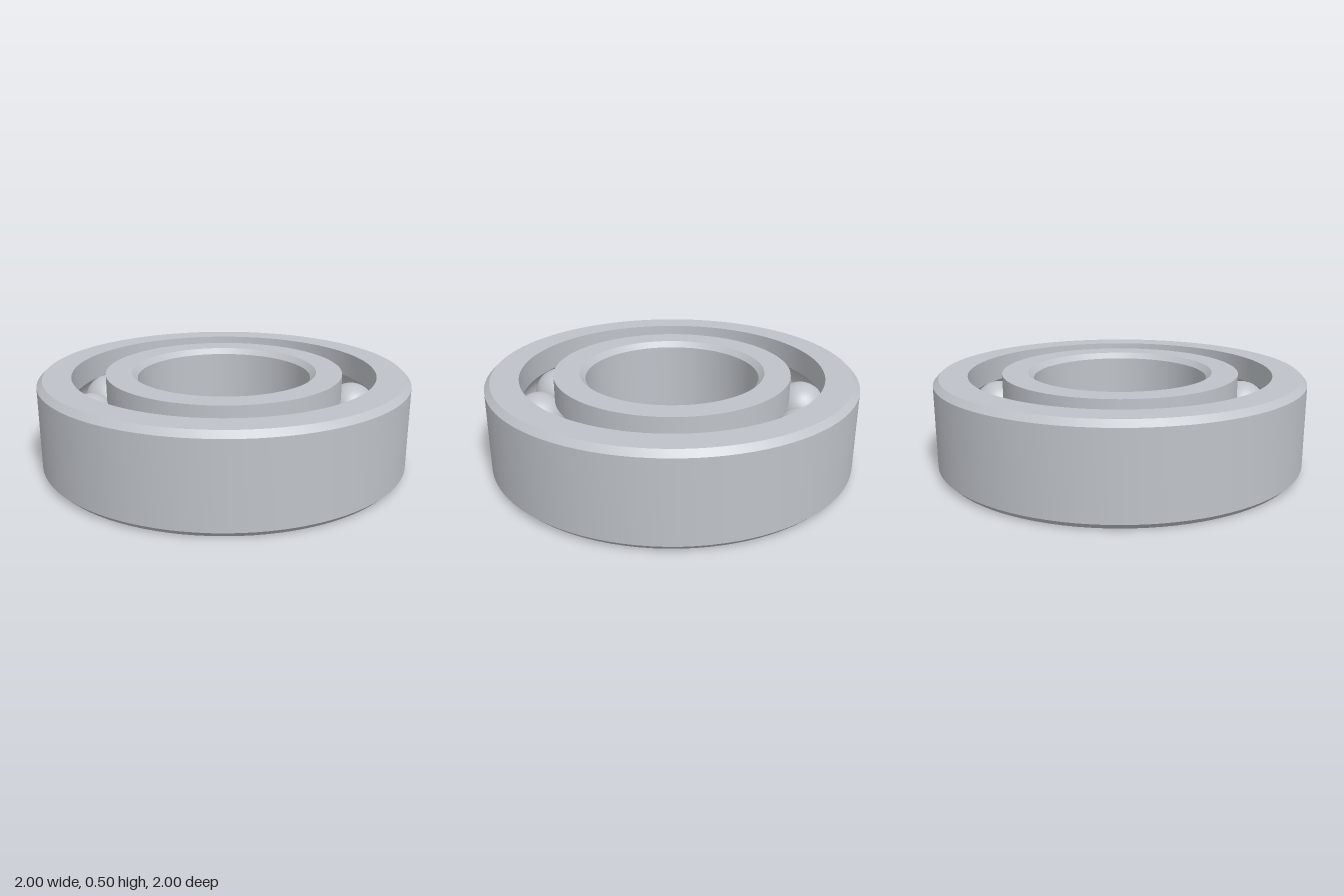
import * as THREE from 'three';
import { toCreasedNormals } from 'three/addons/utils/BufferGeometryUtils.js';

const HEIGHT = 0.5, MID = HEIGHT / 2, CHAMFER = 0.03;
const BALL_COUNT = 12, BALL_RADIUS = 0.14, PITCH_RADIUS = 0.73;
const GROOVE_RADIUS = BALL_RADIUS + 0.003;

// Arc of the ball groove cut into a wall; side is +1 for the outer ring, -1 for the inner
function groove(wallRadius, side, steps = 12) {
  const half = Math.acos(Math.abs(wallRadius - PITCH_RADIUS) / GROOVE_RADIUS);
  return Array.from({ length: steps + 1 }, (_, i) => {
    const a = side * half * (1 - (2 * i) / steps);
    return [PITCH_RADIUS + side * GROOVE_RADIUS * Math.cos(a), MID + side * GROOVE_RADIUS * Math.sin(a) * side];
  });
}

// Closed counter-clockwise profile turned around the y axis
function ring(name, profile, material) {
  const points = [...profile, profile[0]].map(([r, y]) => new THREE.Vector2(r, y));
  const geometry = toCreasedNormals(new THREE.LatheGeometry(points, 96), 0.5);
  const mesh = new THREE.Mesh(geometry, material);
  mesh.name = name;
  return mesh;
}

export function createModel() {
  const steel = new THREE.MeshStandardMaterial({ color: 0xbfc3c9 });
  steel.name = 'steel';
  const model = new THREE.Group();
  model.name = 'ballBearing';

  // Outer ring: chamfered outside, grooved inside
  const outerWall = 0.82;
  model.add(ring('outerRing', [
    [outerWall, 0], [1 - CHAMFER, 0], [1, CHAMFER],
    [1, HEIGHT - CHAMFER], [1 - CHAMFER, HEIGHT], [outerWall, HEIGHT],
    ...groove(outerWall, 1),
  ], steel));

  // Inner ring: chamfered bore, grooved outside
  const bore = 0.47, innerWall = 0.64;
  model.add(ring('innerRing', [
    [bore + CHAMFER, 0], [innerWall, 0],
    ...groove(innerWall, -1),
    [innerWall, HEIGHT], [bore + CHAMFER, HEIGHT],
    [bore, HEIGHT - CHAMFER], [bore, CHAMFER],
  ], steel));

  // Balls spaced evenly in the race
  const balls = new THREE.Group();
  balls.name = 'balls';
  const ballGeometry = new THREE.SphereGeometry(BALL_RADIUS, 32, 24);
  for (let i = 0; i < BALL_COUNT; i++) {
    const a = (i / BALL_COUNT) * Math.PI * 2;
    const ball = new THREE.Mesh(ballGeometry, steel);
    ball.name = `ball${i + 1}`;
    ball.position.set(PITCH_RADIUS * Math.cos(a), MID, PITCH_RADIUS * Math.sin(a));
    balls.add(ball);
  }
  model.add(balls);
  return model;
}
